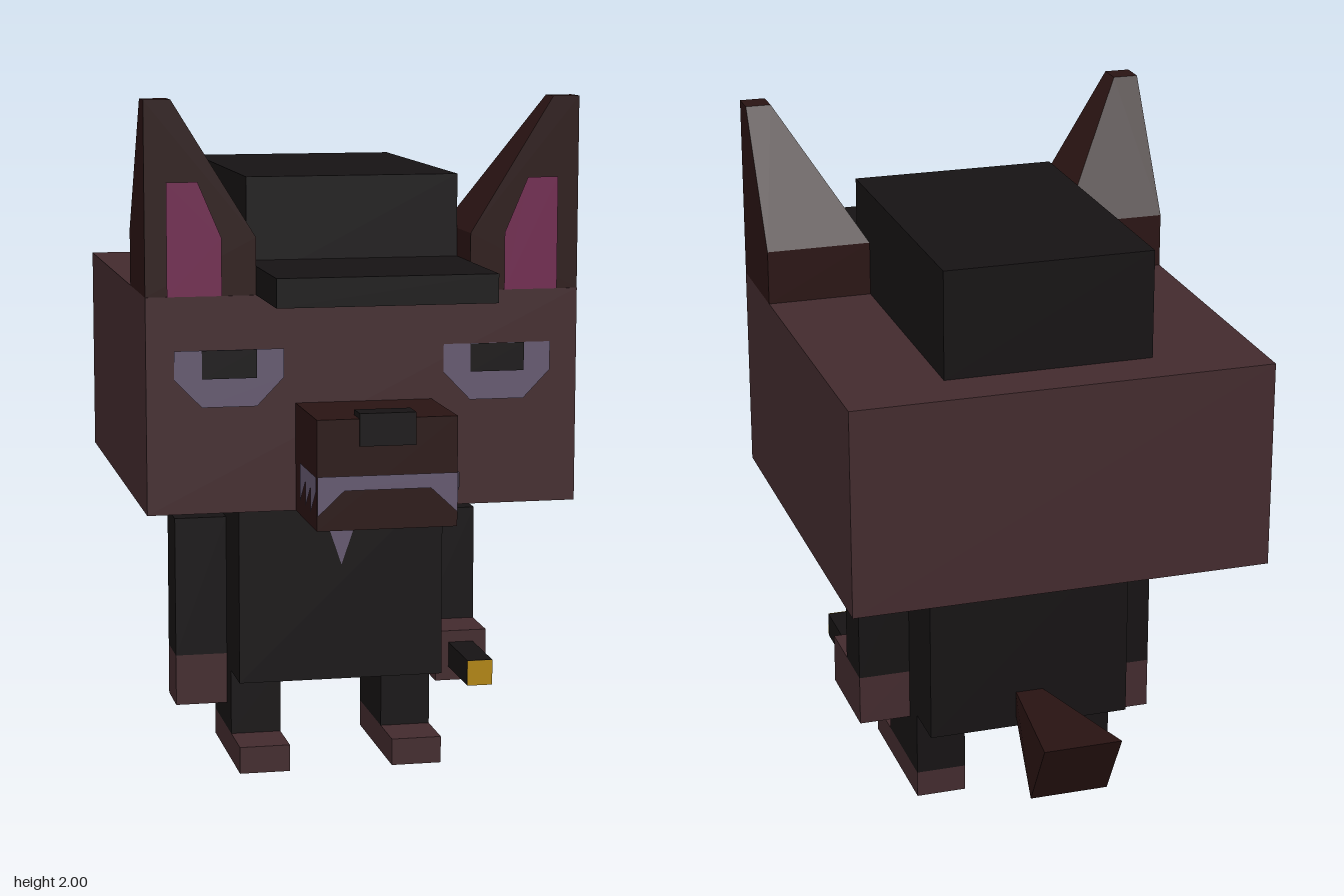
import * as THREE from 'three';
import { ConvexGeometry } from 'three/addons/geometries/ConvexGeometry.js';

const mat = (color) => new THREE.MeshStandardMaterial({ color, flatShading: true, side: THREE.DoubleSide });

export function createModel() {
  const root = new THREE.Group();
  const fur = mat(0x432b2e), darkFur = mat(0x2a1413), black = mat(0x161314);
  const pale = mat(0x64586f), pink = mat(0x70284f), yellow = mat(0xb08512);

  const add = (name, geometry, material) => {
    const mesh = new THREE.Mesh(geometry, material);
    mesh.name = name;
    root.add(mesh);
    return mesh;
  };
  // Box given by its extents on each axis
  const box = (name, material, [x0, x1], [y0, y1], [z0, z1]) => {
    const mesh = add(name, new THREE.BoxGeometry(Math.abs(x1 - x0), y1 - y0, z1 - z0), material);
    mesh.position.set((x0 + x1) / 2, (y0 + y1) / 2, (z0 + z1) / 2);
    return mesh;
  };
  // Thin flat marking facing the front
  const marking = (name, material, points, z) => {
    const shape = new THREE.Shape(points.map(([x, y]) => new THREE.Vector2(x, y)));
    const mesh = add(name, new THREE.ShapeGeometry(shape), material);
    mesh.position.z = z;
    return mesh;
  };
  const convex = (name, material, points) =>
    add(name, new ConvexGeometry(points.map((p) => new THREE.Vector3(...p))), material);

  // Head, snout and nose
  box('head', fur, [-0.615, 0.615], [0.85, 1.46], [-0.68, 0.55]);
  box('snout', darkFur, [-0.195, 0.195], [0.85, 1.155], [0.54, 0.855]);
  box('nose', black, [-0.078, 0.078], [1.08, 1.17], [0.785, 0.86]);

  // Cap
  box('capCrown', black, [-0.305, 0.305], [1.46, 1.775], [-0.53, 0.39]);
  box('capBrim', black, [-0.305, 0.305], [1.46, 1.54], [0.385, 0.86]);

  // Front teeth
  marking('frontTeeth', pale, [[-0.195, 1], [0.195, 1], [0.195, 0.89], [0.12, 0.96],
    [-0.12, 0.96], [-0.195, 0.89]], 0.859);

  // Torso and shirt front
  box('torso', black, [-0.305, 0.305], [0.275, 0.86], [-0.37, 0.24]);
  marking('shirtFront', pale, [[-0.078, 0.85], [0, 0.62], [0.078, 0.85]], 0.244);

  for (const s of [1, -1]) {
    const side = s > 0 ? 'left' : 'right';
    const mirror = (points) => points.map(([x, ...rest]) => [s * x, ...rest]);

    // Ear: square base tapering to a small tip at the outer front corner
    const ear = [];
    for (const [xIn, y, zBack] of [[0.305, 1.46, 0.24], [0.305, 1.62, 0.24], [0.54, 2, 0.47]])
      for (const x of [xIn, 0.615]) for (const z of [zBack, 0.548]) ear.push([x, y, z]);
    convex(side + 'Ear', darkFur, mirror(ear));
    marking(side + 'InnerEar', pink, mirror([[0.402, 1.46], [0.555, 1.46], [0.555, 1.775],
      [0.468, 1.775], [0.402, 1.62]]), 0.553);

    // Eye and pupil
    marking(side + 'Eye', pale, mirror([[0.228, 1.31], [0.228, 1.23], [0.305, 1.15],
      [0.46, 1.15], [0.537, 1.23], [0.537, 1.31]]), 0.554);
    marking(side + 'Pupil', black, mirror([[0.305, 1.23], [0.46, 1.23], [0.46, 1.31],
      [0.305, 1.31]]), 0.558);

    // Side teeth: sawtooth strip turned to the side of the snout
    const saw = [[0.86, 1], [0.86, 0.96]];
    for (const z of [0.785, 0.71, 0.632]) saw.push([z, 0.89], [z, z < 0.65 ? 1 : 0.96]);
    const teeth = marking(side + 'SideTeeth', pale, saw.map(([z, y]) => [-s * z, y]), 0);
    teeth.rotation.y = s * Math.PI / 2;
    teeth.position.x = s * 0.199;

    // Leg and foot
    box(side + 'Leg', black, [s * 0.155, s * 0.305], [0.08, 0.275], [-0.217, 0.085]);
    box(side + 'Foot', fur, [s * 0.155, s * 0.305], [0, 0.08], [-0.217, 0.24]);
  }

  // Right arm hangs down, left arm reaches forward
  box('rightArm', black, [-0.46, -0.305], [0.31, 0.73], [-0.14, 0.01]);
  box('rightHand', fur, [-0.46, -0.305], [0.157, 0.31], [-0.14, 0.01]);
  box('leftArm', black, [0.305, 0.46], [0.385, 0.73], [-0.14, 0.01]);
  box('leftHand', fur, [0.305, 0.46], [0.233, 0.385], [-0.14, 0.165]);

  // Torch held in the left hand
  box('torch', black, [0.345, 0.42], [0.275, 0.35], [0.16, 0.395]);
  marking('torchLight', yellow, [[0.345, 0.275], [0.42, 0.275], [0.42, 0.35], [0.345, 0.35]], 0.398);

  // Tail: small root widening to a slanted end
  const tail = [];
  for (const s of [1, -1]) tail.push([s * 0.04, 0.385, -0.36], [s * 0.04, 0.31, -0.36],
    [s * 0.115, 0.445, -0.855], [s * 0.115, 0.235, -0.735]);
  convex('tail', darkFur, tail);

  return root;
}
